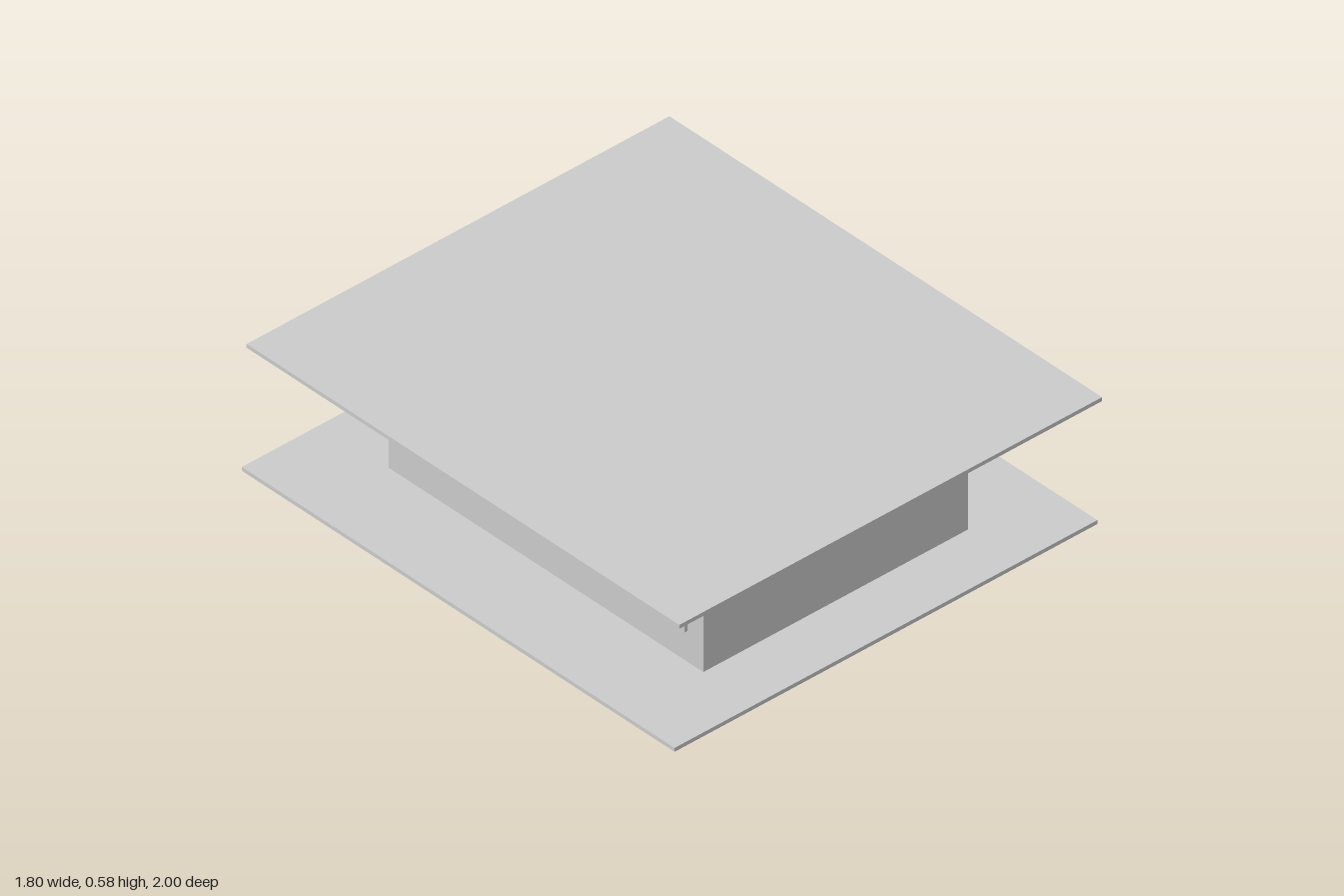
import * as THREE from 'three';

const material = new THREE.MeshStandardMaterial({ color: 0xcccccc, flatShading: true });

// Box given by its lower and upper limits on each axis
function box(name, [x0, x1], [y0, y1], [z0, z1]) {
  const mesh = new THREE.Mesh(new THREE.BoxGeometry(x1 - x0, y1 - y0, z1 - z0), material);
  mesh.position.set((x0 + x1) / 2, (y0 + y1) / 2, (z0 + z1) / 2);
  mesh.name = name;
  return mesh;
}

// Side wall from an outline in (z, y), thickened inward from its outer x
function sideWall(name, points, holes, xMax, thickness) {
  const shape = new THREE.Shape(points.map(p => new THREE.Vector2(...p)));
  for (const [z0, z1, y0, y1] of holes) {
    shape.holes.push(new THREE.Path([[z0, y0], [z0, y1], [z1, y1], [z1, y0]].map(p => new THREE.Vector2(...p))));
  }
  const geometry = new THREE.ExtrudeGeometry(shape, { depth: thickness, bevelEnabled: false });
  geometry.rotateY(-Math.PI / 2);
  const mesh = new THREE.Mesh(geometry, material);
  mesh.position.x = xMax;
  mesh.name = name;
  return mesh;
}

export function createModel() {
  const group = new THREE.Group();
  const wall = 0.02, top = 0.565, left = 0.55, right = -0.565, front = 0.765, back = -0.69;

  // Flat roof and floor slabs, slightly offset sideways
  group.add(box('roof', [-0.88, 0.90], [top, 0.58], [-1, 1]));
  group.add(box('floor', [-0.90, 0.88], [0.10, 0.115], [-1, 1]));

  // Front and back walls
  group.add(box('frontWall', [right + wall, left - wall], [0, top], [front - wall, front]));
  group.add(box('backWall', [right + wall, left - wall], [0, top], [back + 0.003, back + wall]));

  // Wall with the doorway, open down to the ground
  group.add(sideWall('doorWall', [
    [back, 0], [-0.63, 0], [-0.63, 0.45], [-0.40, 0.45], [-0.40, 0], [front, 0], [front, top], [back, top],
  ], [], left, wall));

  // Door standing open into the room, with its handle
  const door = new THREE.Group();
  door.name = 'door';
  door.add(box('doorLeaf', [0.33, left + 0.002], [0.115, 0.445], [-0.628, -0.60]));
  door.add(box('doorHandle', [0.345, 0.36], [0.302, 0.308], [-0.60, -0.58]));
  group.add(door);

  // Wall with three louvred windows
  const y0 = 0.235, y1 = 0.425, half = 0.163, rim = 0.012;
  const centers = [-0.495, 0.02, 0.53];
  group.add(sideWall('windowWall', [[back, 0], [front, 0], [front, top], [back, top]],
    centers.map(c => [c - half + rim, c + half - rim, y0 + rim, y1 - rim]), right + wall, wall));

  for (const c of centers) {
    const window = new THREE.Group();
    window.name = 'window';
    const z0 = c - half, z1 = c + half, depth = [-0.578, right + wall + 0.002];
    // Frame around the opening, with a wider post at one end
    window.add(box('frameTop', depth, [y1 - rim, y1], [z0, z1]));
    window.add(box('frameBottom', depth, [y0, y0 + rim], [z0, z1]));
    window.add(box('framePost', depth, [y0 + rim, y1 - rim], [z0, z0 + 0.04]));
    window.add(box('frameSide', depth, [y0 + rim, y1 - rim], [z1 - rim, z1]));
    // Upright bars and tilted slats
    for (const dz of [-0.075, 0.035]) {
      window.add(box('bar', [-0.559, -0.555], [y0 + rim, y1 - rim], [c + dz - 0.003, c + dz + 0.003]));
    }
    for (let i = 0; i < 8; i++) {
      const y = y0 + 0.026 + i * 0.0197;
      const slat = box('slat', [-0.566, -0.548], [y - 0.002, y + 0.002], [z0 + 0.04, z1 - rim]);
      slat.rotation.z = 0.5;
      window.add(slat);
    }
    group.add(window);
  }
  return group;
}
